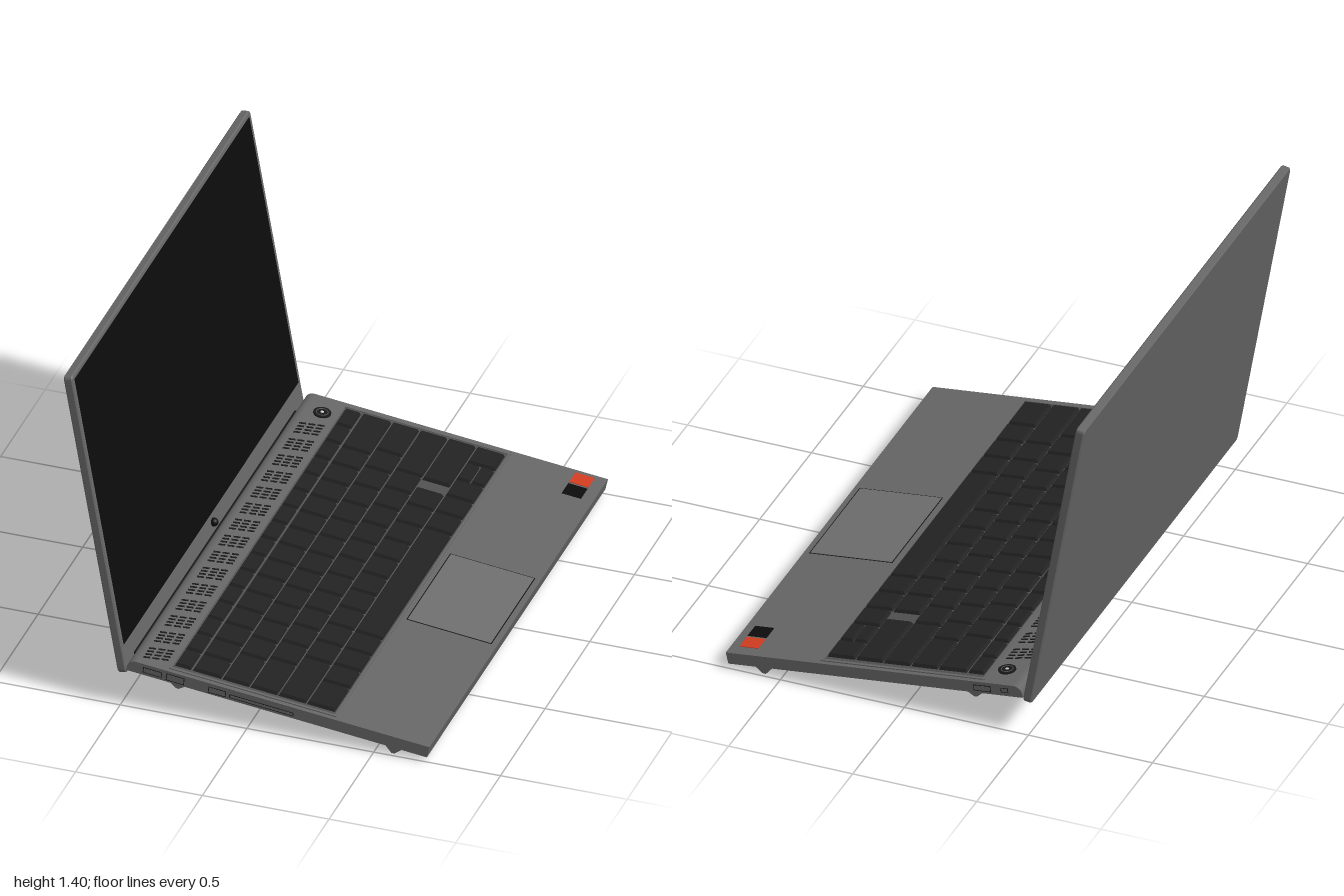
import * as THREE from 'three';

const mat = (color, extra = {}) => new THREE.MeshStandardMaterial({ color, ...extra });
const grey = mat(0x666666), padGrey = mat(0x6e6e6e), trayGrey = mat(0x505050);
const keyBlack = mat(0x222222), dark = mat(0x181818), black = mat(0x0c0c0c);
const red = mat(0xd23c20), white = mat(0xcccccc);

function add(parent, name, geometry, material, x = 0, y = 0, z = 0) {
  const mesh = new THREE.Mesh(geometry, material);
  mesh.name = name;
  mesh.position.set(x, y, z);
  parent.add(mesh);
  return mesh;
}

// Box from its x and z limits, resting on y
function slab(parent, name, material, x0, x1, z0, z1, y, h) {
  return add(parent, name, new THREE.BoxGeometry(x1 - x0, h, z1 - z0), material,
    (x0 + x1) / 2, y + h / 2, (z0 + z1) / 2);
}

// Profile in x,y swept along z, centred
function sweep(shape, depth) {
  return new THREE.ExtrudeGeometry(shape, { depth, bevelEnabled: false, curveSegments: 8 })
    .translate(0, 0, -depth / 2);
}

// Box whose top is narrower than its foot
function keycap(w, h, d) {
  const g = new THREE.BoxGeometry(w, h, d), p = g.attributes.position;
  for (let i = 0; i < p.count; i++) {
    if (p.getY(i) < 0) continue;
    p.setX(i, p.getX(i) - Math.sign(p.getX(i)) * 0.006);
    p.setZ(i, p.getZ(i) - Math.sign(p.getZ(i)) * 0.006);
  }
  g.computeVertexNormals();
  return g;
}

// Deck coordinates run along the sloping top face
const T = 0.047;
const deckX = x => (x - 0.125) * 1.007;

function buildKeyboard(base) {
  const keyboard = new THREE.Group();
  keyboard.name = 'keyboard';
  base.add(keyboard);
  slab(keyboard, 'keyboardTray', trayGrey, deckX(-0.305), deckX(0.335), -0.97, 0.97, 0, 0.002);
  // Raised rim round the tray
  for (const s of [-1, 1]) {
    slab(keyboard, 'trayRimEnd', grey, deckX(-0.31), deckX(0.345), s * 0.976 - 0.006, s * 0.976 + 0.006, 0, 0.004);
    const x = s < 0 ? deckX(-0.31) : deckX(0.34);
    slab(keyboard, 'trayRimSide', grey, x - 0.004, x + 0.004, -0.98, 0.98, 0, 0.004);
  }
  const key = (x0, x1, z0, z1) => add(keyboard, 'key',
    keycap((x1 - x0) * 1.007, 0.013, z1 - z0 - 0.01), keyBlack,
    deckX((x0 + x1) / 2), 0.0085, (z0 + z1) / 2);
  const run = (x0, x1, z0, z1, n) => {
    const s = (z1 - z0) / n;
    for (let i = 0; i < n; i++) key(x0, x1, z0 + i * s, z0 + (i + 1) * s);
  };
  // Each row: x limits, then runs of [z start, z end, key count]
  const rows = [
    [-0.3, -0.238, [-0.955, 0.96, 16]],
    [-0.23, -0.118, [-0.955, -0.705, 1], [-0.705, 0.725, 12], [0.725, 0.96, 2]],
    [-0.113, -0.008, [-0.955, -0.75, 1], [-0.75, 0.77, 12], [0.77, 0.96, 1]],
    [-0.003, 0.103, [-0.955, -0.66, 1], [-0.66, 0.745, 11], [0.745, 0.96, 1]],
    [0.108, 0.215, [-0.955, -0.65, 1], [-0.595, 0.675, 10], [0.675, 0.96, 1]],
    [0.22, 0.33, [-0.955, -0.835, 1], [-0.71, -0.35, 3], [-0.35, 0.425, 1],
      [0.425, 0.79, 3], [0.79, 0.96, 1]],
  ];
  for (const [x0, x1, ...runs] of rows) for (const [z0, z1, n] of runs) run(x0, x1, z0, z1, n);
  // Half-height arrow pair
  key(0.22, 0.273, -0.835, -0.71);
  key(0.277, 0.33, -0.835, -0.71);
}

function buildBase() {
  const base = new THREE.Group();
  base.name = 'base';
  base.position.set(0.125, 0.134, 0);
  base.rotation.z = -0.116;

  // Body with a rounded rear edge
  const s = new THREE.Shape();
  s.moveTo(-0.6, -T);
  s.lineTo(0.594, -T);
  s.lineTo(0.599, 0);
  s.lineTo(-0.565, 0);
  s.quadraticCurveTo(-0.597, -0.002, -0.6, -0.035);
  s.closePath();
  add(base, 'body', sweep(s, 2), grey);

  // Two wedge-shaped foot rails
  for (const [x, y] of [[-0.4, -0.074], [0.4575, -0.0825]]) {
    const f = new THREE.Shape([[x - 0.045, -T + 0.002], [x - 0.006, y], [x + 0.006, y], [x + 0.045, -T + 0.002]]
      .map(p => new THREE.Vector2(...p)));
    add(base, 'footRail', sweep(f, 1.97), grey);
  }
  // Slots in the underside
  slab(base, 'undersideSlot', dark, 0.17, 0.178, -0.55, 0.55, -T - 0.001, 0.002);
  slab(base, 'undersideSlot', dark, -0.15, -0.142, -0.3, 0.3, -T - 0.001, 0.002);

  buildKeyboard(base);

  // Touchpad in a thin dark gap
  slab(base, 'touchpadGap', dark, deckX(0.362), deckX(0.698), -0.248, 0.243, 0, 0.0008);
  slab(base, 'touchpad', padGrey, deckX(0.366), deckX(0.694), -0.244, 0.239, 0, 0.0016);

  // Groups of slanted vent slits
  for (let i = 0; i < 15; i++) {
    for (let j = 0; j < 3; j++) for (let k = 0; k < 4; k++) {
      const slit = add(base, 'ventSlit', new THREE.BoxGeometry(0.026, 0.0016, 0.009), dark,
        deckX(-0.412 + j * 0.033), 0.0006, -0.77 + i * 0.12 + (k - 1.5) * 0.022 - (j - 1) * 0.009);
      slit.rotation.y = 0.28;
    }
  }

  // Power button
  const bx = deckX(-0.37);
  add(base, 'powerButton', new THREE.CylinderGeometry(0.034, 0.034, 0.006, 32), dark, bx, 0.002, -0.893);
  add(base, 'powerButtonRing', new THREE.TorusGeometry(0.022, 0.002, 6, 32).rotateX(Math.PI / 2), trayGrey, bx, 0.005, -0.893);
  add(base, 'powerButtonLight', new THREE.CylinderGeometry(0.007, 0.007, 0.002, 16), white, bx, 0.0055, -0.893);

  // Palm rest stickers
  slab(base, 'redSticker', red, deckX(0.602), deckX(0.678), -0.965, -0.895, 0.011, 0.002);
  slab(base, 'blackSticker', black, deckX(0.602), deckX(0.678), -0.885, -0.812, 0.011, 0.002);

  // Side ports: x centre, y centre, width, height, side
  const ports = [[-0.37, -0.025, 0.075, 0.024, 1], [-0.28, -0.026, 0.072, 0.03, 1], [-0.115, -0.028, 0.07, 0.026, 1],
    [0.06, -0.03, 0.255, 0.016, 1], [-0.4, -0.024, 0.03, 0.02, -1], [-0.31, -0.026, 0.07, 0.026, -1]];
  for (const [x, y, w, h, side] of ports) {
    add(base, 'portOutline', new THREE.BoxGeometry(w, h, 0.002), dark, deckX(x), y, side * 0.9993);
    add(base, 'port', new THREE.BoxGeometry(w - 0.006, h - 0.006, 0.002), grey, deckX(x), y, side * 0.9998);
  }
  return base;
}

function buildLid() {
  const lid = new THREE.Group();
  lid.name = 'lid';
  lid.position.set(-0.475, 0.14, 0);
  lid.rotation.z = 0.171;

  // Bevelled panel with small corner radii
  const b = 0.005, H = 1.273, r = 0.014, w = 1 - b, y0 = b, y1 = H - b;
  const s = new THREE.Shape();
  s.moveTo(-w + r, y0);
  s.lineTo(w - r, y0);
  s.quadraticCurveTo(w, y0, w, y0 + r);
  s.lineTo(w, y1 - r);
  s.quadraticCurveTo(w, y1, w - r, y1);
  s.lineTo(-w + r, y1);
  s.quadraticCurveTo(-w, y1, -w, y1 - r);
  s.lineTo(-w, y0 + r);
  s.quadraticCurveTo(-w, y0, -w + r, y0);
  const g = new THREE.ExtrudeGeometry(s, { depth: 0.025, bevelThickness: b, bevelSize: b, bevelSegments: 1, curveSegments: 5 });
  add(lid, 'lidShell', g.rotateY(Math.PI / 2).translate(-0.03, 0, 0), grey);

  add(lid, 'screen', new THREE.BoxGeometry(0.004, 1.141, 1.956), black, -0.001, 0.6825, 0);
  add(lid, 'camera', new THREE.SphereGeometry(0.017, 20, 14), black, 0.006, 0.076, 0);
  return lid;
}

export function createModel() {
  const model = new THREE.Group();
  model.name = 'laptop';
  model.add(buildBase(), buildLid());
  // Hinge bar between lid and base
  add(model, 'hinge', new THREE.CylinderGeometry(0.011, 0.011, 1.8, 16).rotateX(Math.PI / 2), dark, -0.474, 0.167, 0);
  return model;
}
